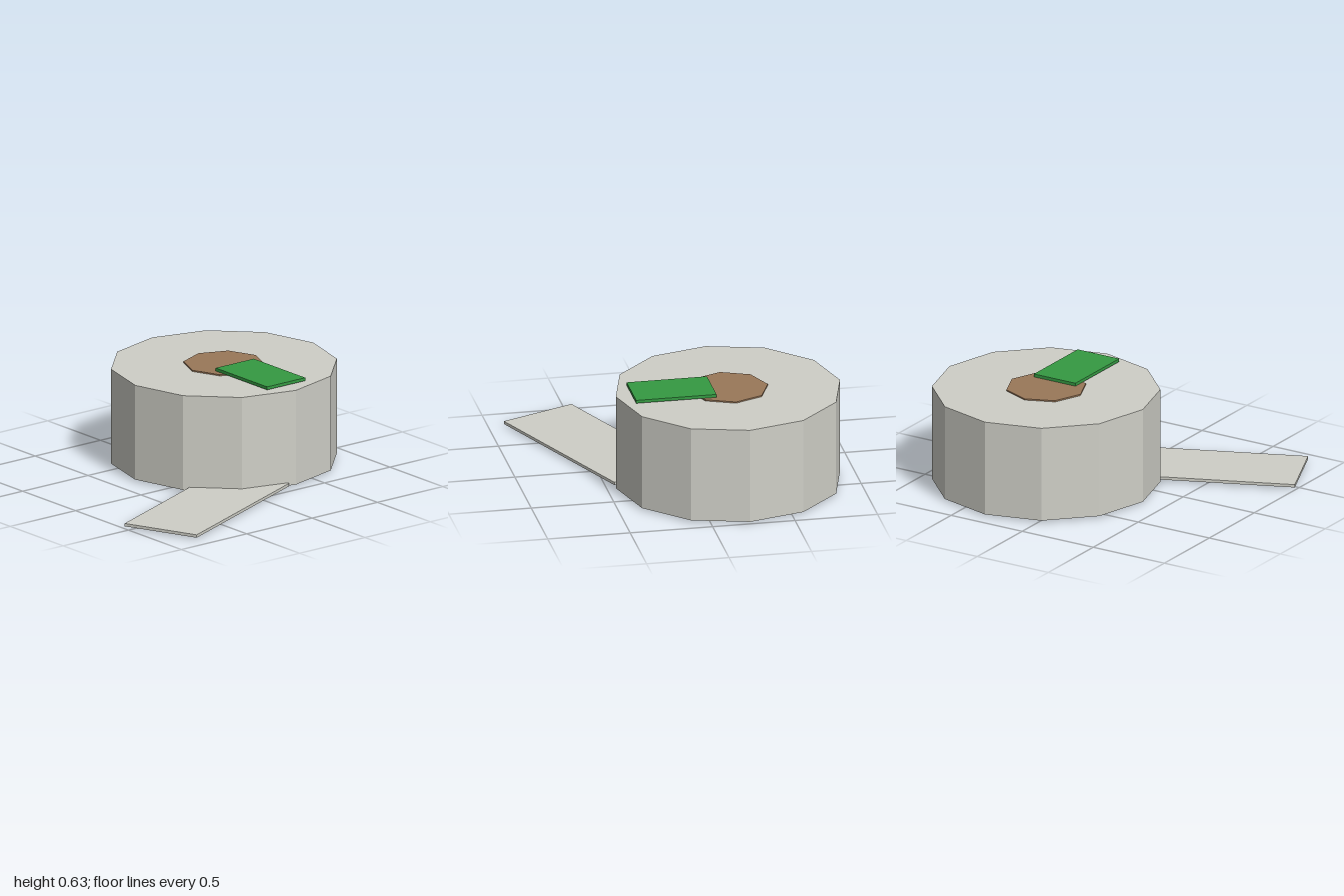
import * as THREE from 'three';

const paper = new THREE.MeshStandardMaterial({ name: 'paper', color: 0xcfcfc7, flatShading: true });
const card = new THREE.MeshStandardMaterial({ name: 'cardboard', color: 0x9a7859, flatShading: true });
const green = new THREE.MeshStandardMaterial({ name: 'green', color: 0x359a42, flatShading: true });

export function createModel() {
  const group = new THREE.Group();
  const add = (name, geometry, material, x, y, z) => {
    const mesh = new THREE.Mesh(geometry, material);
    mesh.name = name;
    mesh.position.set(x, y, z);
    group.add(mesh);
    return mesh;
  };
  const cx = -0.228, cz = -0.32;

  // Twelve-sided roll with an eight-sided core showing at both ends
  add('roll', new THREE.CylinderGeometry(0.68, 0.68, 0.587, 12), paper, cx, 0.3065, cz);
  add('core', new THREE.CylinderGeometry(0.242, 0.242, 0.608, 8), card, cx, 0.304, cz);

  // Loose strip lying on the ground, leaving the roll at a tangent
  const strip = add('looseStrip', new THREE.BoxGeometry(0.485, 0.018, 1.168), paper, 0.455, 0.022, 0.363);
  strip.rotation.y = 0.4;

  // Flat label resting on top
  add('label', new THREE.BoxGeometry(0.487, 0.019, 0.292), green, 0.114, 0.6175, -0.322);
  return group;
}
